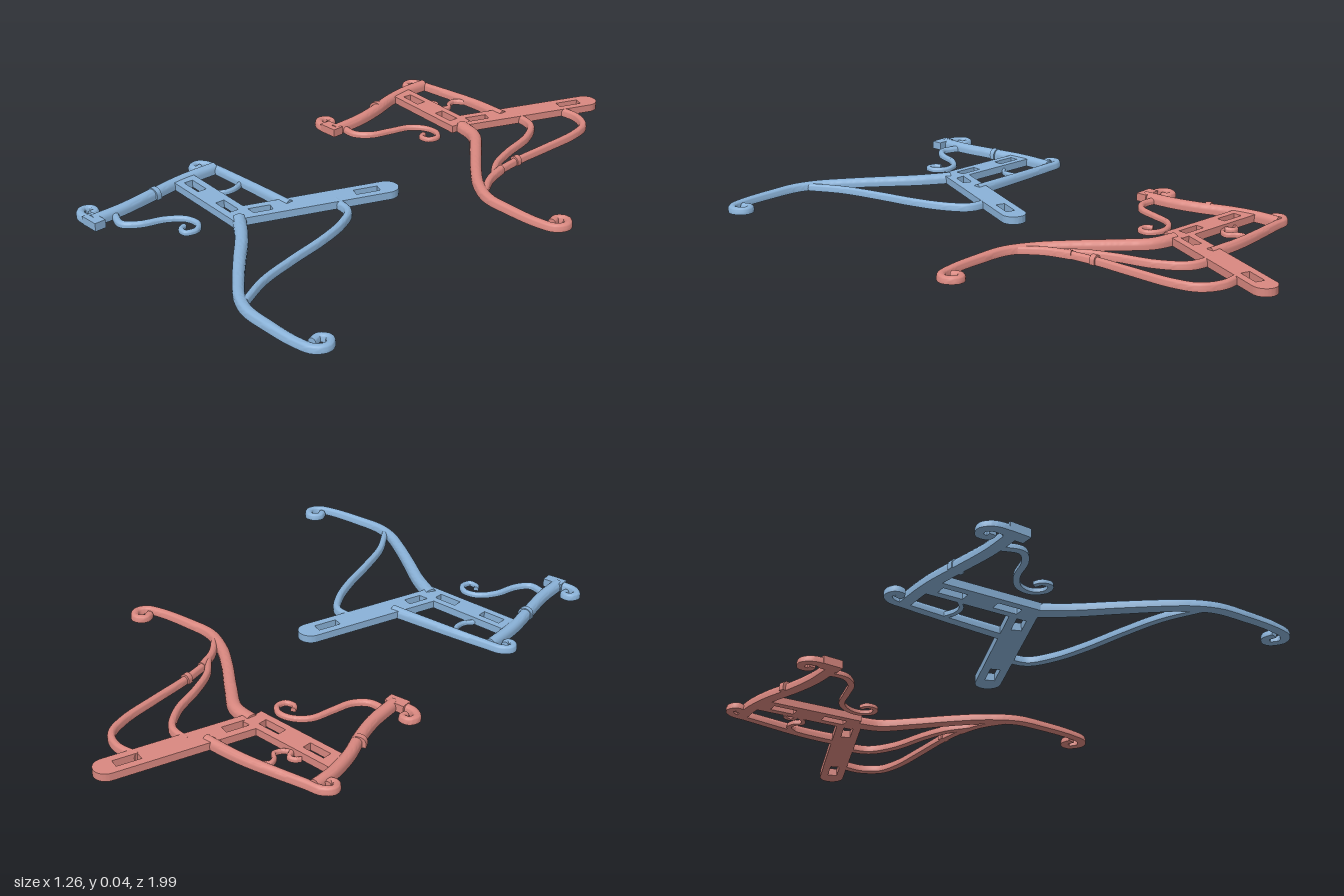
import * as THREE from 'three';
import { toCreasedNormals } from 'three/addons/utils/BufferGeometryUtils.js';

const BAR_HEIGHT = 0.028;

// Bar with a flat underside and rounded top, swept along [x, z] points.
// Width and height taper from the start values to the end values.
function sweep(points, [w0, w1], [h0, h1], steps = points.length * 7) {
  const curve = new THREE.CatmullRomCurve3(points.map(([x, z]) => new THREE.Vector3(x, 0, z)));
  const profile = [[1, 0]];
  for (let k = 0; k <= 8; k++) {
    const a = (k / 8) * Math.PI;
    profile.push([Math.cos(a), 0.45 + 0.55 * Math.sin(a)]);
  }
  profile.push([-1, 0]);
  const n = profile.length, pos = [], index = [];
  for (let i = 0; i <= steps; i++) {
    const t = i / steps, p = curve.getPointAt(t), d = curve.getTangentAt(t);
    const w = THREE.MathUtils.lerp(w0, w1, t) / 2, h = THREE.MathUtils.lerp(h0, h1, t);
    for (const [s, y] of profile) pos.push(p.x - d.z * s * w, y * h, p.z + d.x * s * w);
  }
  for (let i = 0; i < steps; i++) {
    for (let j = 0; j < n; j++) {
      const k = (j + 1) % n, a = i * n, b = a + n;
      index.push(a + j, b + j, b + k, a + j, b + k, a + k);
    }
  }
  const e = steps * n;
  for (let j = 1; j < n - 1; j++) index.push(0, j, j + 1, e, e + j + 1, e + j);
  const geo = new THREE.BufferGeometry();
  geo.setAttribute('position', new THREE.Float32BufferAttribute(pos, 3));
  geo.setIndex(index);
  return toCreasedNormals(geo, 0.7);
}

// Flat bar from one [x, z] point to another, with bolt slots cut through it.
function slottedBar([x0, z0], [x1, z1], width, slots, roundStart) {
  const len = Math.hypot(x1 - x0, z1 - z0), r = width / 2;
  const shape = new THREE.Shape();
  shape.moveTo(0, -r);
  shape.lineTo(len, -r);
  shape.lineTo(len, r);
  shape.lineTo(0, r);
  if (roundStart) shape.absarc(0, 0, r, Math.PI / 2, Math.PI * 1.5, false);
  for (const s of slots) {
    const a = s - 0.044, b = s + 0.044, v = 0.017;
    shape.holes.push(new THREE.Path([[a, -v], [a, v], [b, v], [b, -v]].map(p => new THREE.Vector2(...p))));
  }
  const geo = new THREE.ExtrudeGeometry(shape, { depth: BAR_HEIGHT, bevelEnabled: false, curveSegments: 12 });
  geo.rotateX(-Math.PI / 2);
  geo.rotateY(Math.atan2(-(z1 - z0), x1 - x0));
  geo.translate(x0, 0, z0);
  return toCreasedNormals(geo, 0.6);
}

const shift = (points, dx, dz) => points.map(([x, z]) => [x + dx, z + dz]);

// Scrolls shared by both frames
const HEEL_CURL = [[0.53, -0.092], [0.595, -0.107], [0.614, -0.142], [0.585, -0.176], [0.555, -0.158], [0.563, -0.125]];
const TOE_CURL = [[-0.49, -0.093], [-0.57, -0.095], [-0.597, -0.12], [-0.585, -0.148], [-0.556, -0.145], [-0.556, -0.122]];
const ARM_CURL = [[-0.588, -0.605], [-0.583, -0.584], [-0.607, -0.582], [-0.618, -0.61], [-0.592, -0.634], [-0.53, -0.638]];

function buildFrame(name, material, f) {
  const frame = new THREE.Group();
  frame.name = name;
  const add = (part, geo) => {
    const mesh = new THREE.Mesh(geo, material);
    mesh.name = part;
    frame.add(mesh);
  };
  const dz = f.offset;
  add('backBar', slottedBar(f.back[0], f.back[1], 0.09, [0.07, 0.457], true));
  add('seatBar', slottedBar(f.seat[0], f.seat[1], 0.086, f.seatSlots, false));
  add('rearLeg', sweep([...f.rearLeg, ...shift(HEEL_CURL, 0, dz)], [0.048, 0.028], [0.036, 0.024], 100));
  add('frontLeg', sweep(f.frontLeg, [0.04, 0.042], [0.037, 0.034]));
  add('armrest', sweep([...shift(ARM_CURL, 0, dz), ...f.arm], [0.026, 0.036], [0.026, 0.036], 70));
  add('toeCurl', sweep(shift(TOE_CURL, f.toeShift, dz), [0.036, 0.024], [0.03, 0.022]));
  const foot = new THREE.BoxGeometry(0.075, 0.03, 0.042);
  add('footBlock', foot.translate(-0.503, 0.015, -0.094 + dz));
  add('legScroll', sweep(f.legScroll, [0.025, 0.018], [0.022, 0.016]));
  f.armScrolls.forEach(s => add('armScroll', sweep(s, [0.018, 0.014], [0.02, 0.016])));
  f.braces.forEach(b => add('backBrace', sweep(b, [0.028, 0.024], [0.029, 0.025])));
  f.collars.forEach(([a, b, w, h]) => add('collar', sweep([a, b], [w, w], [h, h], 2)));
  return frame;
}

export function createModel() {
  const red = new THREE.MeshStandardMaterial({ color: 0xd98880 });
  red.name = 'soft red';
  const blue = new THREE.MeshStandardMaterial({ color: 0x8ab2d8 });
  blue.name = 'soft blue';

  const model = new THREE.Group();
  model.name = 'benchEndFrames';
  model.add(buildFrame('rearFrame', red, {
    offset: 0, toeShift: 0,
    back: [[0.008, -0.955], [-0.198, -0.474]],
    seat: [[-0.553, -0.5], [-0.177, -0.458]],
    seatSlots: [0.09, 0.287],
    rearLeg: [[-0.18, -0.462], [-0.09, -0.435], [0, -0.35], [0.11, -0.235], [0.2, -0.155], [0.295, -0.103], [0.4, -0.092]],
    frontLeg: [[-0.56, -0.635], [-0.563, -0.54], [-0.548, -0.437], [-0.516, -0.33], [-0.495, -0.225], [-0.49, -0.095]],
    arm: [[-0.29, -0.652], [-0.135, -0.642]],
    legScroll: [[-0.49, -0.14], [-0.42, -0.135], [-0.373, -0.172], [-0.347, -0.246], [-0.32, -0.325], [-0.272, -0.362],
      [-0.22, -0.366], [-0.185, -0.335], [-0.195, -0.3], [-0.23, -0.298], [-0.242, -0.322]],
    armScrolls: [
      [[-0.34, -0.64], [-0.372, -0.616], [-0.367, -0.585], [-0.347, -0.563], [-0.357, -0.537], [-0.385, -0.52]],
      [[-0.39, -0.525], [-0.4, -0.55], [-0.42, -0.55], [-0.436, -0.533]],
    ],
    braces: [
      [[-0.02, -0.84], [0.07, -0.838], [0.135, -0.795], [0.16, -0.71], [0.163, -0.55], [0.162, -0.4], [0.172, -0.28]],
      [[-0.09, -0.68], [-0.005, -0.655], [0.055, -0.565], [0.093, -0.42], [0.13, -0.32], [0.182, -0.25]],
      [[0.172, -0.3], [0.2, -0.21], [0.26, -0.12]],
    ],
    collars: [[[-0.533, -0.362], [-0.527, -0.343], 0.052, 0.039], [[0.161, -0.4], [0.162, -0.38], 0.036, 0.033]],
  }));
  model.add(buildFrame('frontFrame', blue, {
    offset: 1.065, toeShift: -0.012,
    back: [[0.008, 0.112], [-0.195, 0.595]],
    seat: [[-0.535, 0.574], [-0.15, 0.606]],
    seatSlots: [0.075, 0.273],
    rearLeg: [[-0.18, 0.612], [-0.077, 0.685], [0.03, 0.78], [0.135, 0.87], [0.215, 0.93], [0.295, 0.964], [0.4, 0.973]],
    frontLeg: [[-0.546, 0.43], [-0.548, 0.58], [-0.532, 0.717], [-0.516, 0.85], [-0.516, 0.97]],
    arm: [[-0.33, 0.425], [-0.135, 0.427]],
    legScroll: [[-0.51, 0.885], [-0.436, 0.907], [-0.394, 0.865], [-0.362, 0.78], [-0.315, 0.728], [-0.262, 0.722],
      [-0.23, 0.754], [-0.24, 0.79], [-0.272, 0.786], [-0.283, 0.764]],
    armScrolls: [[[-0.394, 0.43], [-0.378, 0.479], [-0.384, 0.516], [-0.41, 0.545]]],
    braces: [[[-0.05, 0.293], [0.03, 0.31], [0.082, 0.389], [0.119, 0.505], [0.151, 0.664], [0.188, 0.812], [0.25, 0.94]]],
    collars: [[[-0.533, 0.693], [-0.531, 0.712], 0.052, 0.039]],
  }));
  return model;
}
